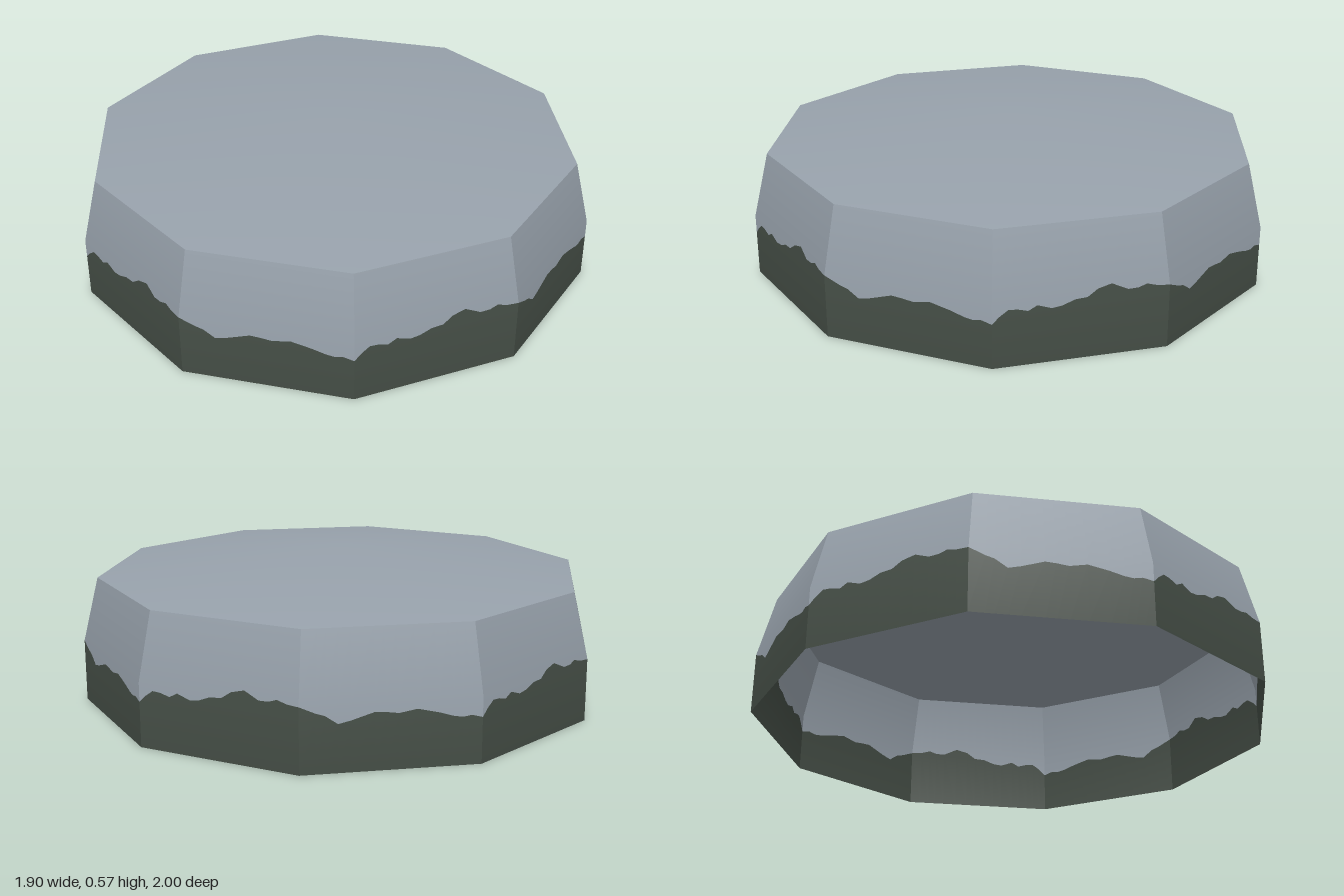
import * as THREE from 'three';
import { mergeVertices } from 'three/addons/utils/BufferGeometryUtils.js';

const SIDES = 10, KNEE = 0.235, RIM = 0.48, RIM_RADIUS = 0.94, PEAK = 0.575;

// Ragged paint line [fraction across a side, height]; the two patterns alternate round the wall
const FALLING = [[0, .235], [.09, .21], [.14, .2], [.21, .17], [.28, .18], [.41, .205], [.47, .202],
  [.54, .196], [.64, .207], [.76, .19], [.84, .175], [.89, .17], [.94, .175], [1, .165]];
const RISING = [[0, .165], [.04, .19], [.09, .212], [.14, .21], [.2, .2], [.25, .217], [.33, .2], [.39, .205],
  [.46, .222], [.53, .225], [.59, .25], [.67, .262], [.76, .237], [.82, .238], [.87, .248], [.93, .238], [1, .235]];

const radiusAt = (y) => (y <= KNEE ? 1 : 1 - (1 - RIM_RADIUS) * (y - KNEE) / (RIM - KNEE));

// Flat-sided wall between two height rules, bent inwards above the knee
function wall(lowRule, highRule) {
  const positions = [], normals = [];
  for (let side = 0; side < SIDES; side++) {
    const a0 = side / SIDES * Math.PI * 2, a1 = (side + 1) / SIDES * Math.PI * 2, mid = (a0 + a1) / 2;
    const line = side % 2 ? RISING : FALLING;
    const push = (t, y) => {
      const r = radiusAt(y), tilt = 0.229 * y / RIM;
      positions.push(r * THREE.MathUtils.lerp(Math.sin(a0), Math.sin(a1), t), y,
        r * THREE.MathUtils.lerp(Math.cos(a0), Math.cos(a1), t));
      normals.push(Math.sin(mid) * Math.cos(tilt), Math.sin(tilt), Math.cos(mid) * Math.cos(tilt));
    };
    for (let i = 0; i + 1 < line.length; i++) {
      const [t0, y0] = line[i], [t1, y1] = line[i + 1];
      const rows = (y) => {
        const low = lowRule(y), high = highRule(y);
        return [low, THREE.MathUtils.clamp(KNEE, low, high), high];
      };
      const left = rows(y0), right = rows(y1);
      for (let k = 0; k < 2; k++) {
        if (right[k + 1] > right[k]) {
          push(t0, left[k]); push(t1, right[k]); push(t1, right[k + 1]);
        }
        if (left[k + 1] > left[k]) {
          push(t0, left[k]); push(t1, right[k + 1]); push(t0, left[k + 1]);
        }
      }
    }
  }
  const geometry = new THREE.BufferGeometry();
  geometry.setAttribute('position', new THREE.Float32BufferAttribute(positions, 3));
  geometry.setAttribute('normal', new THREE.Float32BufferAttribute(normals, 3));
  return geometry;
}

// Shallow pointed lid with soft shading
function lid() {
  const cone = new THREE.ConeGeometry(RIM_RADIUS, PEAK - RIM, SIDES, 1, true);
  cone.deleteAttribute('uv');
  cone.deleteAttribute('normal');
  const geometry = mergeVertices(cone);
  geometry.computeVertexNormals();
  return geometry.translate(0, (PEAK + RIM) / 2, 0);
}

export function createModel() {
  const stone = new THREE.MeshStandardMaterial({ name: 'grey stone', color: 0x98a2ac, side: THREE.DoubleSide });
  const moss = new THREE.MeshStandardMaterial({ name: 'dark moss', color: 0x444d45, side: THREE.DoubleSide });
  const group = new THREE.Group();
  group.name = 'stoneSlab';
  const add = (name, geometry, material) => {
    const mesh = new THREE.Mesh(geometry, material);
    mesh.name = name;
    group.add(mesh);
  };
  add('mossBand', wall(() => 0, (y) => y), moss);
  add('upperWall', wall((y) => y, () => RIM), stone);
  add('topCap', lid(), stone);
  return group;
}
